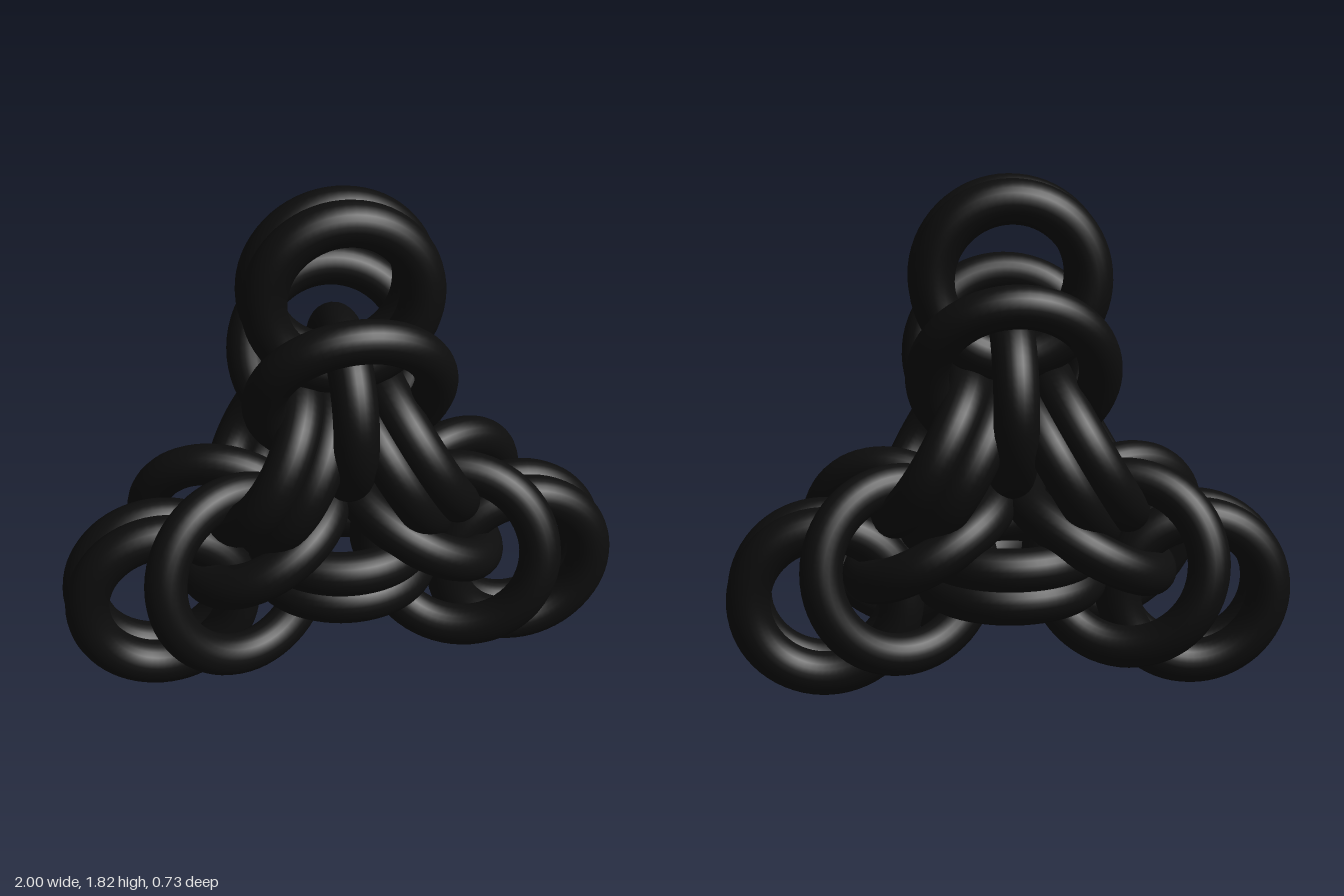
import * as THREE from 'three';

const CENTRE_Y = 0.7235;

export function createModel() {
  const model = new THREE.Group();
  model.name = 'linkedRings';
  const material = new THREE.MeshStandardMaterial({ color: 0x0d0d0d });
  const standard = new THREE.TorusGeometry(0.2685, 0.0775, 24, 64);
  const wide = new THREE.TorusGeometry(0.293, 0.0735, 24, 64);

  const addRing = (parent, name, geometry, position, rotation) => {
    const ring = new THREE.Mesh(geometry, material);
    ring.name = name;
    ring.position.set(...position);
    ring.rotation.set(...rotation);
    parent.add(ring);
  };

  // Three identical arms around the centre, each pointing along its own +y
  ['top', 'left', 'right'].forEach((side, i) => {
    const arm = new THREE.Group();
    arm.name = side + 'Arm';
    arm.position.y = CENTRE_Y;
    arm.rotation.z = -i * Math.PI * 2 / 3;

    // Radial ring from the centre outwards, seen edge-on from the front
    addRing(arm, 'radialRing', standard, [0, 0.327, 0], [0, Math.PI / 2, 0]);

    for (const s of [1, -1]) {
      // Flat pair at the tip
      addRing(arm, 'tipRing', standard, [0, 0.755, s * 0.0575], [0, 0, 0]);
      // Leaning pair that opens outwards to front and back
      addRing(arm, 'leaningRing', wide, [0, 0.452, s * 0.165], [s * 0.455, 0, 0]);
      // Crosswise pair on the side opposite the arm
      addRing(arm, 'crossRing', standard, [0, -0.265 + s * 0.0575, 0], [Math.PI / 2, 0, 0]);
    }
    model.add(arm);
  });
  return model;
}
